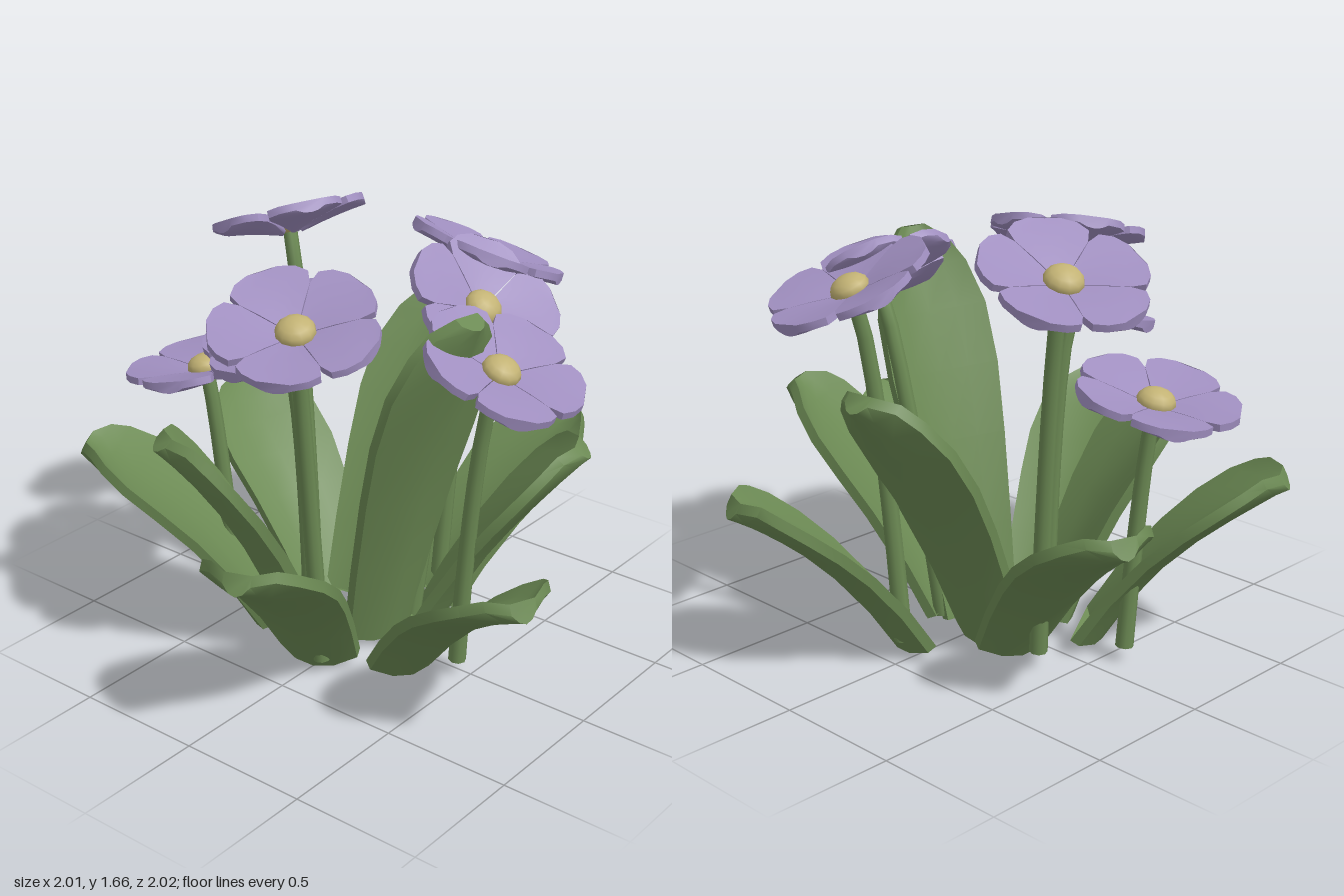
import * as THREE from 'three';
import { toCreasedNormals } from 'three/addons/utils/BufferGeometryUtils.js';

const UP = new THREE.Vector3(0, 1, 0);
const V = (a) => new THREE.Vector3(...a);

// Solid blade lofted along a curve; stations are [t, half width]
function blade(curve, stations, cup, thick) {
  const us = [-1, -0.5, 0, 0.5, 1], n = us.length * 2;
  const pos = [], index = [];
  const dir = curve.getPoint(1).sub(curve.getPoint(0)).setY(0).normalize();
  const side = dir.cross(UP).normalize();
  for (const [t, w] of stations) {
    const p = curve.getPoint(t);
    const normal = side.clone().cross(curve.getTangent(t)).normalize();
    const put = (u, h) => pos.push(...p.clone().addScaledVector(side, u * w).addScaledVector(normal, h).toArray());
    const c = cup * Math.min(1, w / 0.12);
    us.forEach((u) => put(u, c * u * u));
    [...us].reverse().forEach((u) => put(u, c * u * u - thick * (1 - 0.35 * u * u)));
  }
  for (let i = 0; i < stations.length - 1; i++) {
    for (let j = 0; j < n; j++) {
      const a = i * n + j, b = i * n + (j + 1) % n;
      index.push(a, b, b + n, a, b + n, a + n);
    }
  }
  const end = (stations.length - 1) * n;
  for (let k = 1; k < n - 1; k++) index.push(0, k + 1, k, end, end + k, end + k + 1);
  const g = new THREE.BufferGeometry();
  g.setAttribute('position', new THREE.Float32BufferAttribute(pos, 3));
  g.setIndex(index);
  return toCreasedNormals(g, 0.75);
}

// Round stem, slimmer towards the flower
function stem(path) {
  const rings = 8, sides = 8;
  const g = new THREE.TubeGeometry(path, rings, 0.034, sides, false);
  const pos = g.attributes.position, v = new THREE.Vector3();
  for (let i = 0; i < pos.count; i++) {
    const t = Math.floor(i / (sides + 1)) / rings;
    v.fromBufferAttribute(pos, i).lerp(path.getPointAt(t), 0.2 * t);
    pos.setXYZ(i, v.x, v.y, v.z);
  }
  return g;
}

const LEAF = [[0, 0.155], [0.2, 0.18], [0.42, 0.21], [0.6, 0.232], [0.76, 0.228], [0.88, 0.18], [0.95, 0.12], [1, 0.05]];
const PETAL = [[0, 0.02], [0.3, 0.079], [0.55, 0.129], [0.75, 0.145], [0.9, 0.113], [1, 0.058]];

// Leaves: base, tip, upward bulge
const leaves = [
  [[0.07, 0.04, -0.36], [0.29, 0.69, -0.98], 0.13],
  [[-0.13, 0.05, -0.15], [-0.2, 1.15, -0.82], 0.12],
  [[-0.24, 0.04, -0.11], [-0.94, 0.71, -0.33], 0.13],
  [[-0.36, 0.04, 0.16], [-0.96, 0.73, 0.51], 0.15],
  [[-0.01, 0.04, 0.28], [0.24, 0.75, 0.98], 0.13],
  [[-0.15, 0.05, 0.2], [-0.39, 0.96, 0.66], 0.12],
  [[0.29, 0.04, 0.12], [0.99, 0.66, 0.41], 0.12],
  [[0.19, 0.05, -0.08], [0.73, 0.9, -0.32], 0.1],
  [[0.07, 0.04, -0.01], [0.52, 1.46, 0.09], 0.08],
];

// Flowers: centre, facing direction, petal angle in degrees, foot of the stem
const flowers = [
  [[0.11, 1.405, -0.57], [0.18, 1, -0.4], -90, [0.03, 0.07, -0.43]],
  [[0.08, 1.415, 0.48], [0.2, 1, 0.33], -80, [0.05, 0.06, 0.33]],
  [[-0.55, 1.49, -0.22], [-0.42, 1, -0.15], -114, [-0.39, 0.07, -0.15]],
  [[0.32, 1.34, -0.26], [0.8, 1, 0.12], 80, [0.11, 0.06, -0.15]],
  [[0.6, 1.255, 0.02], [0.47, 1, -0.02], -103, [0.45, 0.06, 0.02]],
  [[-0.64, 0.995, 0.17], [-0.22, 1, 0.04], -71, [-0.57, 0.06, 0.12]],
  [[-0.2, 1.255, 0.22], [-0.15, 1, 0.33], -125, [-0.14, 0.06, 0.16]],
];

export function createModel() {
  const model = new THREE.Group();
  model.name = 'floweringPlant';
  const material = (name, color) => {
    const m = new THREE.MeshStandardMaterial({ color });
    m.name = name;
    return m;
  };
  const green = material('leafGreen', 0x6c8a54);
  const purple = material('petalPurple', 0xa08fc0);
  const yellow = material('centreYellow', 0xc2b274);
  const add = (parent, name, geometry, mat) => {
    const mesh = new THREE.Mesh(geometry, mat);
    mesh.name = name;
    parent.add(mesh);
    return mesh;
  };

  // Arching leaves
  for (const [base, tip, bulge] of leaves) {
    const a = V(base), b = V(tip);
    const run = b.clone().sub(a).normalize();
    const lift = UP.clone().addScaledVector(run, -run.y).normalize();
    const mid = a.clone().lerp(b, 0.55).addScaledVector(lift, bulge);
    add(model, 'leaf', blade(new THREE.QuadraticBezierCurve3(a, mid, b), LEAF, 0.045, 0.06), green);
  }

  // Shared petal and centre shapes
  const petalSpine = new THREE.QuadraticBezierCurve3(V([0.03, 0.005, 0]), V([0.17, 0.042, 0]), V([0.295, 0.056, 0]));
  const petalShape = blade(petalSpine, PETAL, 0.006, 0.042);
  const centreShape = new THREE.SphereGeometry(0.072, 12, 8).scale(1, 0.68, 1);

  for (const [centre, facing, angle, foot] of flowers) {
    const top = V(centre), normal = V(facing).normalize();

    // Stem bending into the flower head
    const bend = top.clone().addScaledVector(normal, -0.21);
    const path = new THREE.QuadraticBezierCurve3(V(foot), bend, top);
    add(model, 'stem', stem(path), green);
    const cap = add(model, 'stemFoot', new THREE.CircleGeometry(0.034, 8), green);
    cap.position.copy(V(foot));
    cap.quaternion.setFromUnitVectors(new THREE.Vector3(0, 0, 1), path.getTangent(0).negate());

    // Flower head with five petals
    const head = new THREE.Group();
    head.name = 'flowerHead';
    head.position.copy(top);
    head.quaternion.setFromUnitVectors(UP, normal);
    for (let i = 0; i < 5; i++) {
      const petal = add(head, 'petal', petalShape, purple);
      petal.rotation.y = -THREE.MathUtils.degToRad(angle + i * 72);
    }
    add(head, 'flowerCentre', centreShape, yellow).position.y = 0.018;
    model.add(head);
  }
  return model;
}
